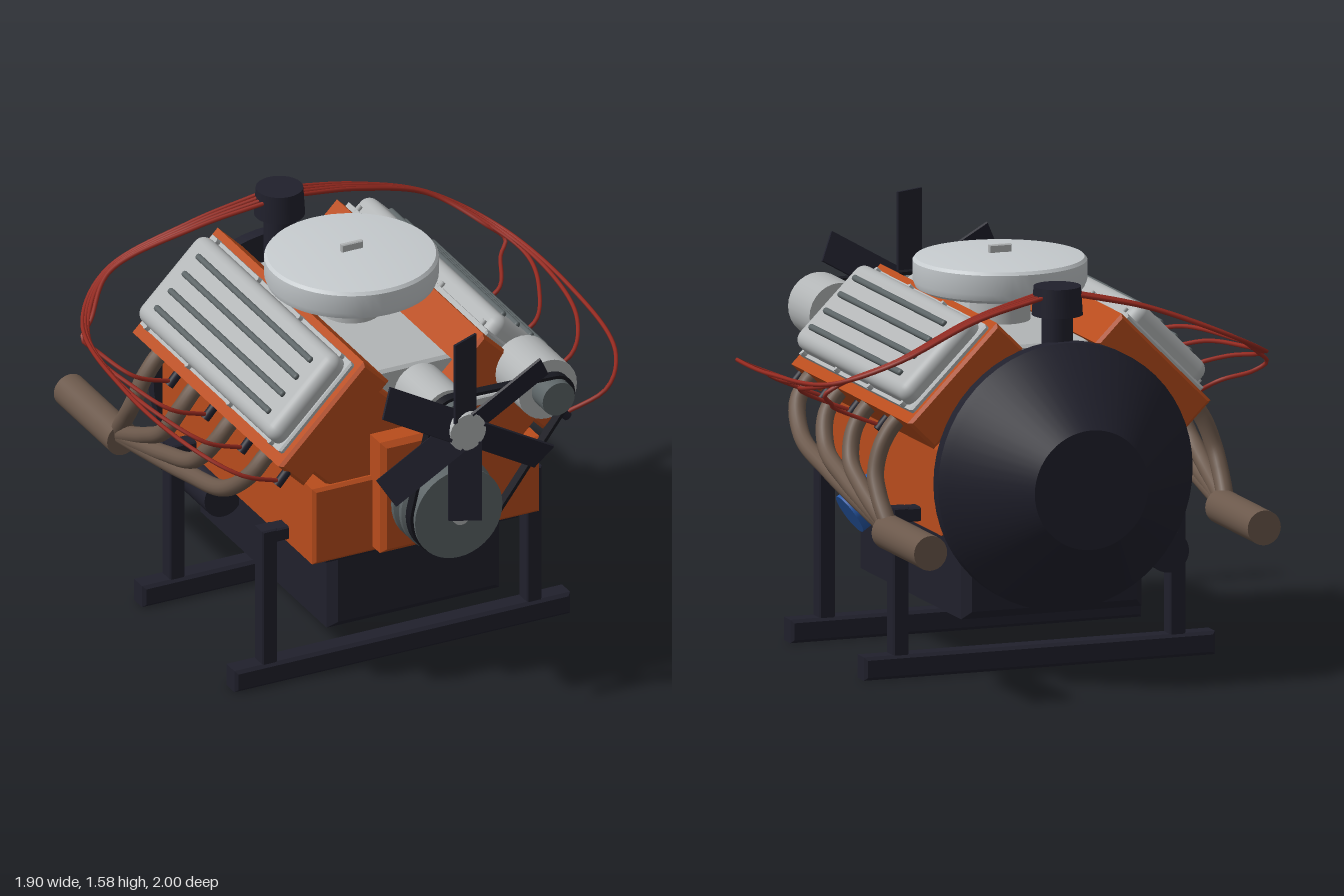
import * as THREE from 'three';
import { toCreasedNormals } from 'three/addons/utils/BufferGeometryUtils.js';
import { RoundedBoxGeometry } from 'three/addons/geometries/RoundedBoxGeometry.js';

const mat = (name, color, side = THREE.FrontSide) => {
  const m = new THREE.MeshStandardMaterial({ color, side });
  m.name = name;
  return m;
};
const V = (x, y, z) => new THREE.Vector3(x, y, z);

// Box with chamfered edges, centred on the origin
function bevelBox(w, h, d, b = 0.012) {
  const x = w / 2 - b, y = h / 2 - b;
  const s = new THREE.Shape([[-x, -y], [x, -y], [x, y], [-x, y]].map(p => new THREE.Vector2(...p)));
  const g = new THREE.ExtrudeGeometry(s, { depth: d - 2 * b, bevelSize: b, bevelThickness: b, bevelSegments: 1 });
  return g.translate(0, 0, b - d / 2);
}

// Surface of revolution around z; profile is [radius, z] with rising z
function latheZ(profile, segments = 40) {
  const g = new THREE.LatheGeometry(profile.map(p => new THREE.Vector2(...p)), segments);
  return toCreasedNormals(g.rotateX(Math.PI / 2), 0.5);
}

export function createModel() {
  const root = new THREE.Group();
  root.name = 'engineOnStand';
  const orange = mat('blockOrange', 0xb84c1c);
  const dark = mat('darkSteel', 0x20202c);
  const black = mat('rubberBlack', 0x17181f, THREE.DoubleSide);
  const silver = mat('castAluminium', 0xb2b5b6);
  const bright = mat('brightMetal', 0xc6cbce);
  const grey = mat('pulleyGrey', 0x5c6466);
  const brown = mat('exhaustBrown', 0x6b584b);
  const blue = mat('filterBlue', 0x2859a8);
  const red = mat('wireRed', 0x962a20);

  const add = (name, geo, m, x = 0, y = 0, z = 0, parent = root) => {
    const mesh = new THREE.Mesh(geo, m);
    mesh.name = name;
    mesh.position.set(x, y, z);
    parent.add(mesh);
    return mesh;
  };
  // Cylinder between two points
  const rod = (name, a, b, r, m, r2 = r) => {
    const mesh = add(name, new THREE.CylinderGeometry(r2, r, a.distanceTo(b), 28), m);
    mesh.position.copy(a).lerp(b, 0.5);
    mesh.quaternion.setFromUnitVectors(V(0, 1, 0), b.clone().sub(a).normalize());
    return mesh;
  };
  const tube = (name, pts, r, m, n = 48, sides = 10) =>
    add(name, new THREE.TubeGeometry(new THREE.CatmullRomCurve3(pts), n, r, sides), m);

  // Stand
  for (const z of [0.41, -0.36]) {
    add('standCrossbar', bevelBox(1.42, 0.09, 0.09), dark, 0, 0.05, z);
    for (const s of [-1, 1]) {
      add('standPost', bevelBox(0.064, 0.58, 0.07, 0.006), dark, s * 0.56, 0.37, z);
      add('standArm', bevelBox(0.16, 0.055, 0.07, 0.006), dark, s * 0.51, 0.63, z);
    }
  }

  // Oil pan, block and timing cover
  add('oilPan', bevelBox(0.73, 0.34, 1.115, 0.032), dark, 0, 0.41, 0.007);
  add('panFlange', bevelBox(0.82, 0.03, 1.2, 0.006), dark, 0, 0.576, 0.01);
  add('lowerBlock', bevelBox(0.96, 0.32, 1.27), orange, 0, 0.747, 0.015);
  add('valleyBlock', bevelBox(0.5, 0.4, 1.22), orange, 0, 0.97, 0.01);
  add('timingCover', bevelBox(0.46, 0.47, 0.12, 0.02), orange, 0, 0.845, 0.67);

  // Cylinder banks, each tilted 45 degrees
  for (const s of [-1, 1]) {
    const bank = new THREE.Group();
    bank.name = s > 0 ? 'leftBank' : 'rightBank';
    bank.rotation.z = -s * Math.PI / 4;
    root.add(bank);
    const put = (name, geo, m, u, v, z) => add(name, geo, m, s * u, v, z, bank);
    put('cylinderBank', bevelBox(0.41, 0.6, 1.24), orange, -0.555, 0.74, 0.01);
    put('cylinderHead', bevelBox(0.51, 0.15, 1.24), orange, -0.548, 1.085, 0.01);
    put('valveCoverFlange', bevelBox(0.435, 0.03, 1.17, 0.008), silver, -0.555, 1.165, 0.006);
    put('valveCover', new RoundedBoxGeometry(0.405, 0.17, 1.14, 4, 0.045), silver, -0.555, 1.168, 0.006);
    for (let i = 0; i < 4; i++)
      put('coverRib', new RoundedBoxGeometry(0.024, 0.026, 0.95, 2, 0.01), grey, -0.68 + i * 0.083, 1.256, 0.015);
    for (const u of [-0.764, -0.346])
      for (let i = 0; i < 4; i++)
        put('coverBolt', new THREE.CylinderGeometry(0.011, 0.011, 0.03, 8), silver, u, 1.185, -0.51 + i * 0.345);

    // Exhaust headers and collector
    for (let i = 0; i < 4; i++) {
      const z = 0.475 - i * 0.3, along = t => z + (-0.6 - z) * t;
      tube('headerPipe', [
        V(s * 0.48, 1.04, z), V(s * 0.57, 1.02, z), V(s * 0.645, 0.93, along(0.015)),
        V(s * 0.685, 0.815, along(0.14)), V(s * 0.69, 0.735, along(0.42)),
        V(s * 0.685, 0.665, along(0.74)), V(s * 0.675, 0.61, -0.6)], 0.033, brown, 40, 14);
    }
    rod('exhaustCollector', V(s * 0.675, 0.607, -0.555), V(s * 0.675, 0.607, -1), 0.067, brown);

    // Spark plug boots and wires
    for (let i = 0; i < 4; i++) {
      const z = 0.61 - i * 0.3;
      rod('plugBoot', V(s * 0.54, 1.03, z), V(s * 0.615, 0.945, z), 0.018, dark);
      tube('plugWire', [
        V(s * 0.6, 0.96, z), V(s * 0.77, 1.03, z + 0.015), V(s * (0.885 - i * 0.01), 1.09, z - 0.13),
        V(s * (0.94 - i * 0.015), 1.13, (z - 0.63) / 2), V(s * (0.875 - i * 0.012), 1.18, -0.5),
        V(s * 0.68, 1.28, -0.675 + i * 0.008), V(s * 0.35, 1.41, -0.645 + i * 0.016),
        V(s * 0.05, 1.48, -0.62 + i * 0.025)], 0.0085, red, 64, 6);
    }
  }

  // Bell housing at the rear
  add('bellHousing', latheZ([[0, -0.94], [0.23, -0.94], [0.49, -0.69], [0.515, -0.665],
    [0.515, -0.615], [0, -0.615]], 56), dark, 0, 0.79, 0);

  // Intake, carburettor and air cleaner
  add('intakeManifold', bevelBox(0.37, 0.2, 1.0, 0.012), silver, 0, 1.17, 0.017);
  add('carburettor', new THREE.CylinderGeometry(0.115, 0.115, 0.16, 32), silver, 0, 1.34, 0.02);
  const cleaner = new THREE.LatheGeometry([[0, 1.385], [0.29, 1.385], [0.32, 1.4], [0.33, 1.425], [0.33, 1.5],
    [0.32, 1.512], [0.23, 1.523], [0, 1.528]].map(p => new THREE.Vector2(...p)), 56);
  add('airCleaner', toCreasedNormals(cleaner, 0.6), bright, 0, 0, 0.02);
  add('wingNut', bevelBox(0.09, 0.035, 0.02, 0.004), silver, 0, 1.54, 0.02);
  rod('thermostatNeck', V(0, 1.18, 0.5), V(0, 1.18, 0.62), 0.05, silver);

  // Distributor
  rod('distributorStem', V(0, 1.05, -0.58), V(0, 1.41, -0.58), 0.06, dark);
  rod('distributorCap', V(0, 1.4, -0.58), V(0, 1.51, -0.58), 0.097, dark, 0.09);

  // Starter motor and oil filter
  rod('starterMotor', V(-0.43, 0.465, -0.2), V(-0.43, 0.465, -0.64), 0.08, dark);
  rod('oilFilter', V(0.37, 0.67, 0.12), V(0.57, 0.54, 0.12), 0.083, blue);

  // Water pump, alternator and their pulleys
  rod('waterPump', V(0, 1.2, 0.58), V(0, 1.2, 0.825), 0.103, silver);
  rod('pumpPulley', V(0, 1.2, 0.82), V(0, 1.2, 0.91), 0.085, grey);
  rod('fanShaft', V(0, 1.2, 0.9), V(0, 1.2, 0.95), 0.05, silver);
  rod('alternator', V(0.423, 1.207, 0.6), V(0.423, 1.207, 0.825), 0.123, silver);
  rod('alternatorPulley', V(0.423, 1.207, 0.82), V(0.423, 1.207, 0.915), 0.068, grey);
  add('alternatorBracket', bevelBox(0.32, 0.035, 0.05, 0.005), silver, 0.2, 1.155, 0.685);

  // Crank pulley with belt grooves
  add('crankPulley', latheZ([[0, 0.7], [0.17, 0.7], [0.195, 0.735], [0.195, 0.755], [0.16, 0.775], [0.195, 0.8],
    [0.195, 0.82], [0.172, 0.835], [0.172, 0.895], [0.185, 0.905], [0.185, 0.915], [0, 0.915]]), grey, 0, 0.82, 0);
  rod('crankBolt', V(0, 0.82, 0.9), V(0, 0.82, 0.94), 0.036, silver);

  // Belt: outline hugging the three pulleys
  const wheels = [[0, 0.82, 0.176], [0, 1.2, 0.088], [0.423, 1.207, 0.071]];
  const hug = grow => Array.from({ length: 96 }, (_, i) => {
    const a = i / 96 * Math.PI * 2, c = Math.cos(a), n = Math.sin(a);
    const reach = w => w[0] * c + w[1] * n + w[2];
    const w = wheels.reduce((p, q) => (reach(q) > reach(p) ? q : p));
    return new THREE.Vector2(w[0] + (w[2] + grow) * c, w[1] + (w[2] + grow) * n);
  });
  const beltShape = new THREE.Shape(hug(0.013));
  beltShape.holes.push(new THREE.Path(hug(0)));
  add('fanBelt', new THREE.ExtrudeGeometry(beltShape, { depth: 0.04, bevelEnabled: false }), black, 0, 0, 0.845);

  // Six-blade fan
  const fan = new THREE.Group();
  fan.name = 'fan';
  fan.position.set(0, 1.203, 0.968);
  root.add(fan);
  for (let i = 0; i < 6; i++) {
    const arm = new THREE.Group();
    arm.name = 'fanBladeArm';
    arm.rotation.z = i * Math.PI / 3;
    fan.add(arm);
    add('fanBlade', new THREE.BoxGeometry(0.127, 0.335, 0.01), dark, 0, 0.218, 0, arm).rotation.y = 0.42;
  }
  add('fanHub', latheZ([[0, -0.03], [0.076, -0.03], [0.076, 0.025], [0, 0.025]], 24), silver, 0, 0, 0, fan);

  return root;
}
